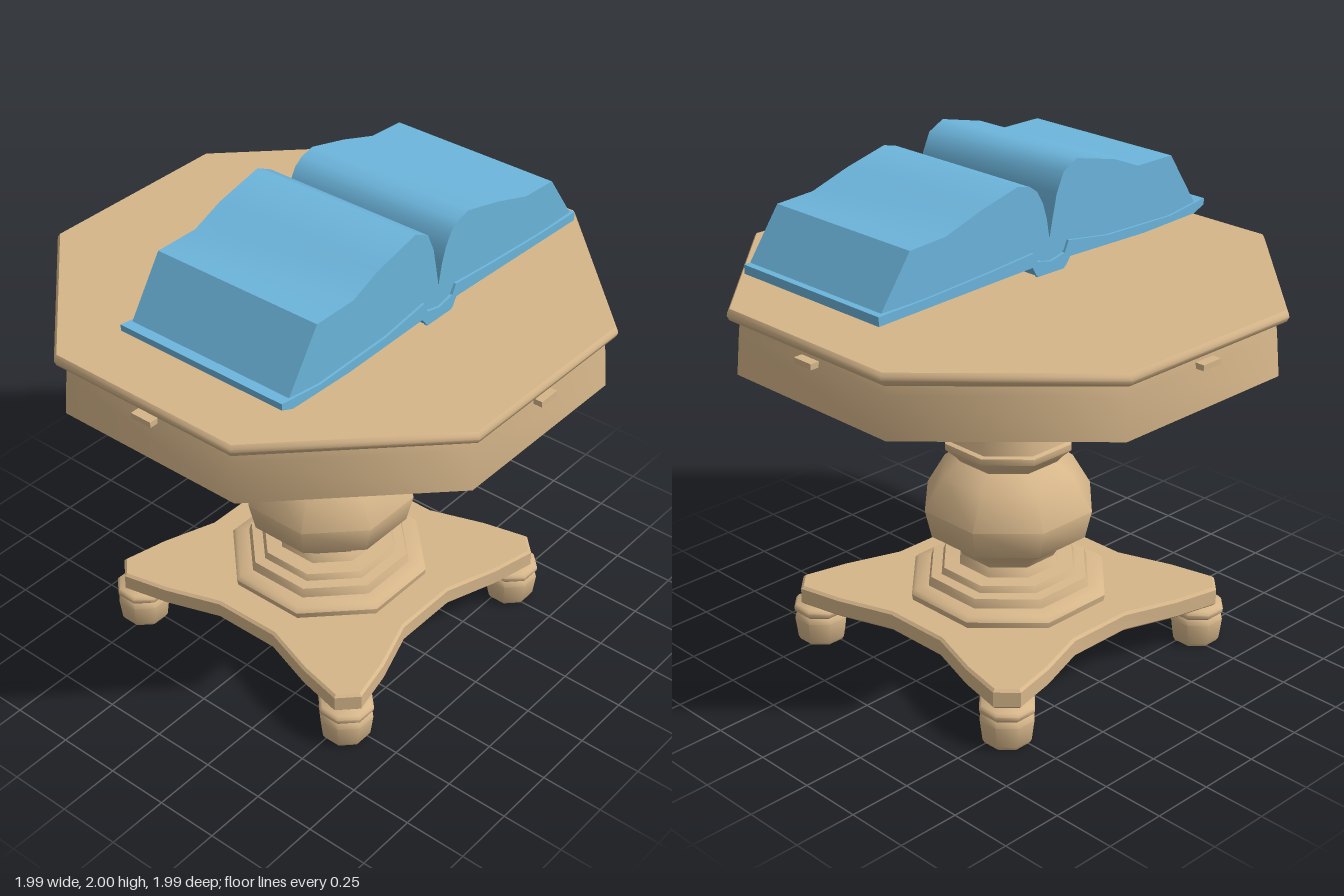
import * as THREE from 'three';
import { toCreasedNormals } from 'three/addons/utils/BufferGeometryUtils.js';

const wood = new THREE.MeshStandardMaterial({ color: 0xd6b68a });
wood.name = 'tan wood';
const blue = new THREE.MeshStandardMaterial({ color: 0x6cb5dc });
blue.name = 'light blue';

const vectors = (pairs) => pairs.map(([a, b]) => new THREE.Vector2(a, b));

function addMesh(parent, name, geometry, material, crease) {
  const mesh = new THREE.Mesh(crease ? toCreasedNormals(geometry, crease) : geometry, material);
  mesh.name = name;
  parent.add(mesh);
  return mesh;
}

// Eight-sided turning; the profile gives [distance to the flat side, y], bottom to top
function octagonal(profile) {
  const k = 1 / Math.cos(Math.PI / 8);
  return new THREE.LatheGeometry(vectors(profile.map(([r, y]) => [r * k, y])), 8, Math.PI / 8);
}

// Outline of [z, y] points swept along x
function sweptAlongX(outline, x0, x1) {
  const shape = new THREE.Shape(vectors(outline.map(([z, y]) => [-z, y])));
  const geometry = new THREE.ExtrudeGeometry(shape, { depth: x1 - x0, bevelEnabled: false });
  return geometry.rotateY(Math.PI / 2).translate(x0, 0, 0);
}

function createTable() {
  const table = new THREE.Group();
  table.name = 'table';

  // Top with a rounded lip, over a hollow flared apron
  addMesh(table, 'tableTop', octagonal([
    [0, 1.5], [0.965, 1.5], [0.985, 1.512], [0.993, 1.53], [0.99, 1.543], [0.982, 1.555], [0, 1.555],
  ]), wood, 0.85);
  addMesh(table, 'apron', octagonal([
    [0.925, 1.505], [0.94, 1.3], [0.968, 1.3], [0.955, 1.46], [0.95, 1.505],
  ]), wood, 0.85);

  // Braces under the top and small pulls on the four main sides
  for (let i = 0; i < 4; i++) {
    const side = new THREE.Group();
    side.name = 'side';
    side.rotation.y = i * Math.PI / 2;
    table.add(side);
    addMesh(side, 'brace', new THREE.BoxGeometry(0.07, 0.09, 0.87), wood).position.set(0, 1.457, 0.495);
    addMesh(side, 'pull', new THREE.BoxGeometry(0.09, 0.022, 0.05), wood).position.set(0, 1.468, 0.965);
  }

  // Turned pedestal
  addMesh(table, 'pedestal', octagonal([
    [0, 0.24], [0.37, 0.24], [0.375, 0.27], [0.36, 0.287], [0.31, 0.295], [0.3, 0.33], [0.26, 0.335],
    [0.25, 0.36], [0.19, 0.365], [0.175, 0.4], [0.19, 0.43], [0.295, 0.505], [0.32, 0.62], [0.25, 0.75],
    [0.185, 0.805], [0.2, 0.825], [0.24, 0.865], [0.24, 0.89], [0.222, 0.895], [0.15, 1.24],
    [0.163, 1.245], [0.165, 1.268], [0.155, 1.275], [0.108, 1.278], [0.112, 1.3], [0.13, 1.5],
  ]), wood, 0.85);

  // Base with four points and hollowed sides
  const quarter = [[0.605, -0.54], [0.565, -0.36], [0.49, -0.14], [0.49, 0.14], [0.565, 0.36], [0.605, 0.54]];
  const outline = [];
  for (let i = 0; i < 4; i++) {
    const c = [1, 0, -1, 0][i], s = [0, 1, 0, -1][i];
    for (const [x, y] of quarter) outline.push([x * c - y * s, x * s + y * c]);
  }
  const base = new THREE.ExtrudeGeometry(new THREE.Shape(vectors(outline)), {
    depth: 0.06, bevelThickness: 0.01, bevelSize: 0.01, bevelOffset: -0.002, bevelSegments: 1,
  });
  base.rotateX(-Math.PI / 2).translate(0, 0.175, 0);
  addMesh(table, 'base', base, wood, 0.6);

  // Turned feet
  const foot = [[0, 0], [0.082, 0], [0.09, 0.015], [0.1, 0.1], [0.094, 0.115], [0.09, 0.122],
    [0.1, 0.132], [0.102, 0.148], [0.092, 0.16], [0, 0.168]];
  for (const x of [-0.528, 0.528]) {
    for (const z of [-0.528, 0.528]) {
      addMesh(table, 'foot', octagonal(foot), wood, 0.85).position.set(x, 0, z);
    }
  }
  return table;
}

function createBook() {
  const book = new THREE.Group();
  book.name = 'openBook';

  // Page block with a deep gutter
  addMesh(book, 'pages', sweptAlongX([
    [0.8, 1.68], [0.655, 1.9], [0.47, 1.9], [0.34, 1.953], [0.14, 2], [0.07, 1.965], [0.035, 1.89],
    [0.015, 1.8], [0, 1.73], [-0.015, 1.81], [-0.035, 1.87], [-0.065, 1.92], [-0.1, 1.945],
    [-0.16, 1.96], [-0.34, 1.915], [-0.51, 1.86], [-0.675, 1.85], [-0.81, 1.66],
    [-0.3, 1.66], [-0.09, 1.67], [0, 1.64], [0.09, 1.67], [0.3, 1.655], [0.65, 1.65],
  ], -0.21, 0.5), blue, 0.7);

  // Cover boards and spine
  addMesh(book, 'cover', sweptAlongX([
    [0.845, 1.69], [0.65, 1.664], [0.3, 1.672], [0.09, 1.703], [0.07, 1.66], [0, 1.645], [-0.07, 1.66],
    [-0.09, 1.697], [-0.3, 1.68], [-0.6, 1.662], [-0.83, 1.655], [-0.83, 1.62], [-0.3, 1.637],
    [-0.095, 1.643], [-0.075, 1.608], [0.075, 1.608], [0.1, 1.64], [0.5, 1.632], [0.79, 1.642], [0.845, 1.665],
  ], -0.22, 0.51), blue, 0.5);

  // Raised bands across the spine
  for (let i = 0; i < 6; i++) {
    addMesh(book, 'spineBand', new THREE.BoxGeometry(0.014, 0.03, 0.14), blue)
      .position.set(-0.213 + i * 0.143, 1.616, 0);
  }
  return book;
}

export function createModel() {
  const model = new THREE.Group();
  model.name = 'pedestalTableWithBook';
  model.add(createTable(), createBook());
  return model;
}
